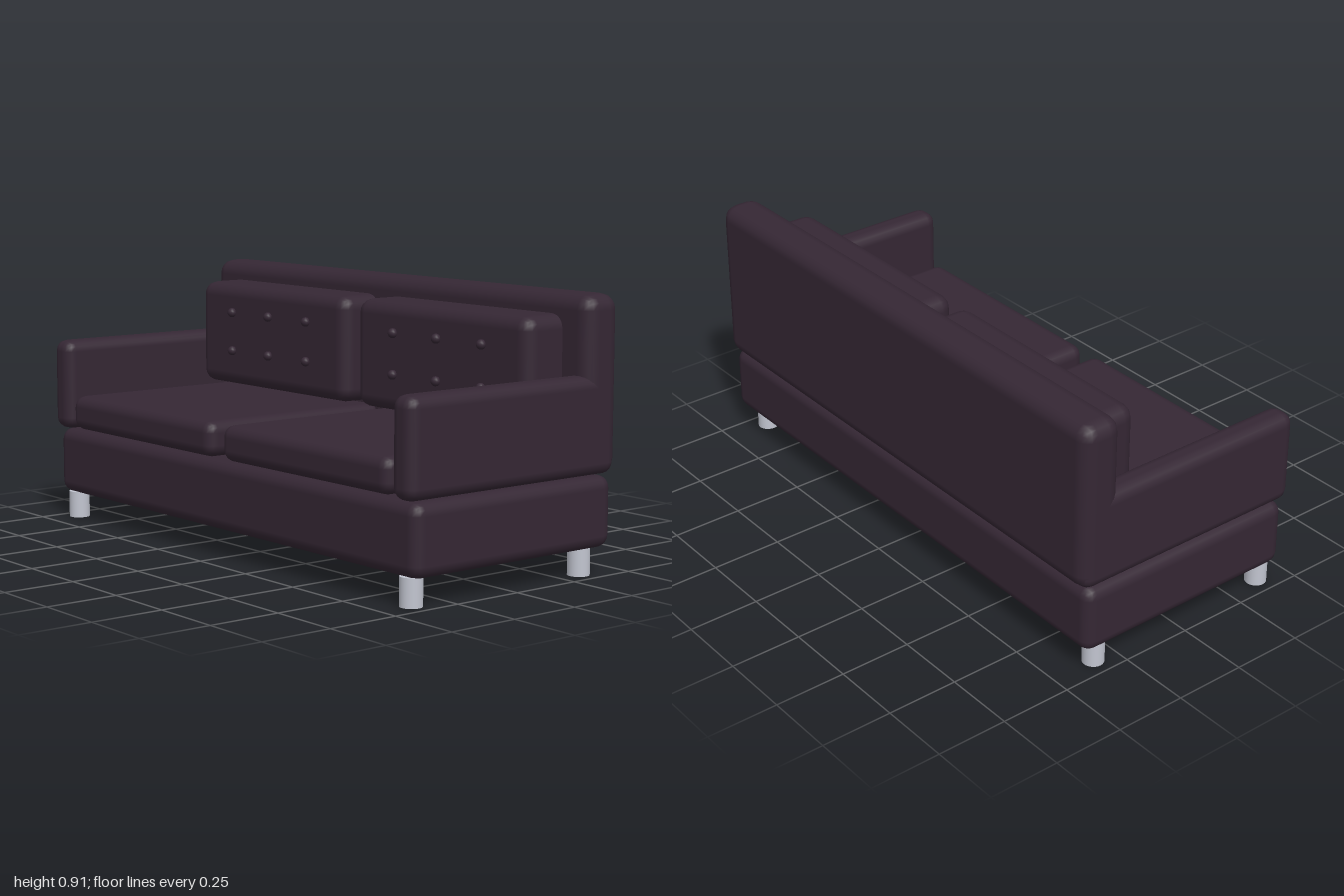
import * as THREE from 'three';
import { RoundedBoxGeometry } from 'three/addons/geometries/RoundedBoxGeometry.js';

export function createModel() {
  const sofa = new THREE.Group();
  sofa.name = 'sofa';
  const leather = new THREE.MeshStandardMaterial({ name: 'darkPlumLeather', color: 0x35273400 >> 8 });
  const metal = new THREE.MeshStandardMaterial({ name: 'silverMetal', color: 0xc2c5d0 });

  const add = (name, geometry, material, x = 0, y = 0, z = 0) => {
    const mesh = new THREE.Mesh(geometry, material);
    mesh.name = name;
    mesh.position.set(x, y, z);
    sofa.add(mesh);
    return mesh;
  };

  // Padded block given by its extents along each axis
  const pad = (name, [x0, x1], [y0, y1], [z0, z1], radius) =>
    add(name, new RoundedBoxGeometry(x1 - x0, y1 - y0, z1 - z0, 2, radius), leather,
      (x0 + x1) / 2, (y0 + y1) / 2, (z0 + z1) / 2);

  // Frame
  pad('base', [-1, 1], [0.09, 0.328], [-0.423, 0.423], 0.042);
  pad('backrest', [-1, 1], [0.33, 0.914], [-0.445, -0.295], 0.052);

  const legGeometry = new THREE.CylinderGeometry(0.037, 0.037, 0.095, 24);
  const buttonGeometry = new THREE.SphereGeometry(0.017, 12, 8);

  for (const [side, s] of [['left', 1], ['right', -1]]) {
    const span = (a, b) => (s > 0 ? [a, b] : [-b, -a]);

    pad(side + 'Arm', span(0.9, 1), [0.33, 0.654], [-0.435, 0.445], 0.04);

    // Loose cushions
    pad(side + 'SeatCushion', span(0.03, 0.885), [0.335, 0.458], [-0.32, 0.44], 0.04);
    pad(side + 'BackCushion', span(0.03, 0.885), [0.47, 0.846], [-0.345, -0.14], 0.048);

    // Tufting buttons, two rows of three
    for (const x of [0.238, 0.458, 0.677])
      for (const y of [0.6, 0.742])
        add(side + 'Button', buttonGeometry, leather, s * x, y, -0.134);

    // Legs
    add(side + 'FrontLeg', legGeometry, metal, s * 0.933, 0.0475, 0.381);
    add(side + 'BackLeg', legGeometry, metal, s * 0.933, 0.0475, -0.336);
  }
  return sofa;
}
